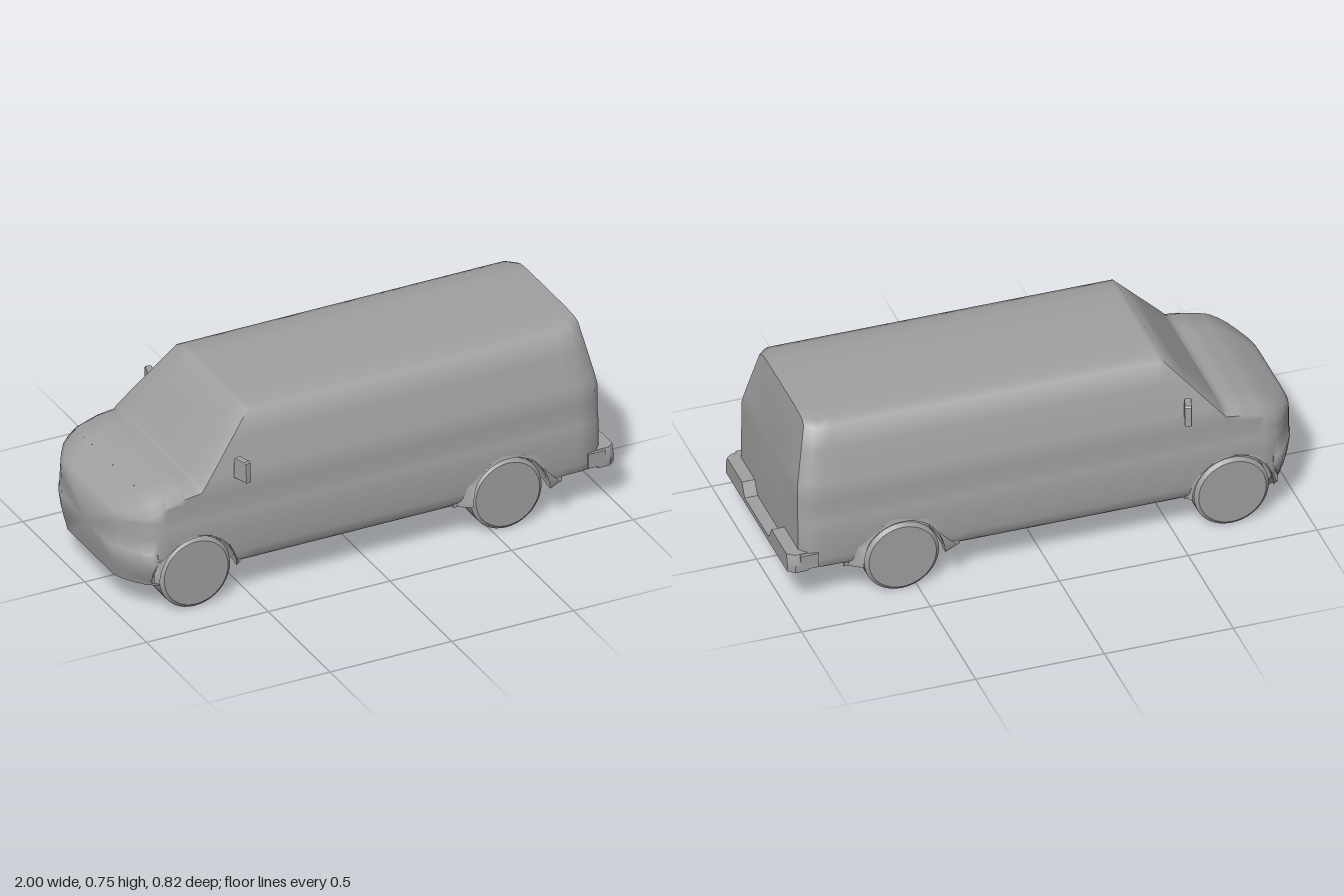
import * as THREE from 'three';
import { toCreasedNormals } from 'three/addons/utils/BufferGeometryUtils.js';

const paint = new THREE.MeshStandardMaterial({ color: 0xa0a0a0, side: THREE.DoubleSide });
const AXLES = [-0.72, 0.56], HUB_Y = 0.145, ARCH_R = 0.16;

function add(parent, name, geometry, x = 0, y = 0, z = 0) {
  const mesh = new THREE.Mesh(geometry, paint);
  mesh.name = name;
  mesh.position.set(x, y, z);
  parent.add(mesh);
  return mesh;
}

// Piecewise linear lookup in a list of [input, output] pairs
function lookup(table, v) {
  if (v <= table[0][0]) return table[0][1];
  for (let i = 1; i < table.length; i++) {
    const [a, p] = table[i - 1], [b, q] = table[i];
    if (v <= b) return p + (q - p) * (v - a) / (b - a);
  }
  return table[table.length - 1][1];
}

// Body outline: roof and bonnet height, plan half-width, side section, tail slope
const TOP = [[-1, 0.39], [-0.985, 0.402], [-0.95, 0.422], [-0.9, 0.45], [-0.85, 0.472], [-0.77, 0.492],
  [-0.7, 0.497], [-0.48, 0.742], [0.9, 0.747]];
const PLAN = [[-1, 0.2], [-0.985, 0.24], [-0.96, 0.285], [-0.93, 0.328], [-0.9, 0.35], [-0.86, 0.362],
  [-0.75, 0.364], [0.86, 0.362], [0.92, 0.353], [0.95, 0.318]];
const SIDE = [[0.12, 0.335], [0.15, 0.343], [0.17, 0.356], [0.2, 0.361], [0.33, 0.362], [0.385, 0.353],
  [0.49, 0.351], [0.55, 0.334], [0.73, 0.279]];
const TAIL = [[0.5, 0], [0.745, 0.05]];
const SHOULDER = [[-1, 0.02], [-0.9, 0.035], [-0.7, 0.022], [-0.48, 0.017]];
const ROWS = [0.12, 0.15, 0.17, 0.2, 0.262, 0.268, 0.33, 0.36, 0.385, 0.44, 0.49, 0.52, 0.55, 0.64, 0.8];

function floorY(x) { return x < -0.881 ? 0.12 : x > 0.721 ? 0.165 : 0.15; }
function sillY(x) {
  let y = floorY(x);
  for (const c of AXLES) {
    const d = ARCH_R * ARCH_R - (x - c) ** 2;
    if (d > 0) y = Math.max(y, HUB_Y + Math.sqrt(d));
  }
  return y;
}

// One closed cross-section, with the wheel housing as a step in the underside
function section(x) {
  const top = lookup(TOP, x), shoulder = top - lookup(SHOULDER, x), sill = sillY(x);
  const wide = lookup(PLAN, x) / 0.362;
  const half = ROWS.map(row => {
    const y = Math.min(Math.max(row, sill), shoulder);
    const lip = x < -0.88 && y < 0.265 ? 1.015 : 1;
    return [y, lookup(SIDE, y) * wide * lip];
  });
  const edge = half[half.length - 1][1];
  const inner = Math.min(0.24, half[0][1] * 0.9);
  half.unshift([floorY(x), inner], [sill, inner]);
  half.push([top - 0.004, edge - 0.035 * wide], [top, edge * 0.6]);
  const loop = [[floorY(x), 0], ...half, [top, 0], ...half.slice().reverse().map(([y, z]) => [y, -z])];
  return loop.map(([y, z]) => {
    let px = x;
    if (x > 0.9) px -= lookup(TAIL, y);
    if (x < -0.88) px += y < 0.25 ? 0.025 * (0.25 - y) / 0.13 : y > 0.265 ? 0.004 : 0;
    return [px, y, z];
  });
}

function creased(pos, index, angle) {
  const g = new THREE.BufferGeometry();
  g.setAttribute('position', new THREE.Float32BufferAttribute(pos, 3));
  g.setIndex(index);
  return toCreasedNormals(g, angle);
}

// Shell lofted through the sections, closed by a nose panel
function shellGeometry() {
  const xs = [-1, -0.985, -0.96, -0.93, -0.9, -0.883, -0.77, -0.7, -0.48, -0.46, -0.2, 0.1, 0.3, 0.8, 0.86,
    0.92, 0.95];
  for (const c of AXLES) for (let k = 0; k <= 16; k++) xs.push(c + ARCH_R * Math.cos(k * Math.PI / 16));
  xs.sort((a, b) => a - b);
  const loops = xs.map(section), n = loops[0].length;
  const pos = loops.flat(2), index = [];
  for (let i = 0; i < xs.length - 1; i++) {
    for (let j = 0; j < n; j++) {
      const k = (j + 1) % n, a = i * n + j, b = a + n, c = (i + 1) * n + k, d = i * n + k;
      index.push(a, b, c, a, c, d);
    }
  }
  const nose = pos.length / 3;
  pos.push(-1, 0.26, 0);
  for (let j = 0; j < n; j++) index.push(nose, j, (j + 1) % n);
  return creased(pos, index, 1);
}

// Rear doors, a fan over the last section
function tailGeometry() {
  const loop = section(0.95), n = loop.length, index = [];
  for (let j = 0; j < n; j++) index.push(n, (j + 1) % n, j);
  return creased([...loop.flat(), 0.95, 0.49, 0], index, 0.5);
}

// Wheel arch lip, blended into the side and flicked outwards near the sill
function flareGeometry(outer, spread) {
  const s = new THREE.Shape();
  s.absarc(0, 0, outer, 0, Math.PI, false);
  s.absarc(0, 0, ARCH_R - 0.002, Math.PI, 0, true);
  const g = new THREE.ExtrudeGeometry(s, { depth: 0.017, bevelEnabled: false, curveSegments: 28 });
  const p = g.attributes.position;
  for (let i = 0; i < p.count; i++) {
    const x = p.getX(i), y = p.getY(i);
    const low = 1 - THREE.MathUtils.smoothstep(y, 0.02, 0.1);
    const isOuter = Math.hypot(x, y) > ARCH_R + 0.005;
    if (isOuter) p.setX(i, x * (1 + 10 * spread * low));
    if (p.getZ(i) > 0.01) p.setZ(i, isOuter ? lookup(SIDE, HUB_Y + y) - 0.353 : 0.016 + spread * low);
  }
  g.computeVertexNormals();
  return toCreasedNormals(g, 0.8);
}

// Plain disc wheel turned as one profile, inner face to chamfered outer face
function wheelGeometry() {
  const profile = [[0, 0.259], [0.145, 0.259], [0.145, 0.345], [0.131, 0.357], [0, 0.357]]
    .map(([r, z]) => new THREE.Vector2(r, z));
  const g = new THREE.LatheGeometry(profile, 40);
  g.rotateX(Math.PI / 2);
  return toCreasedNormals(g, 0.5);
}

// Rear bumper with a dipped step and chamfered corners
function rearBumper(parent) {
  const s = new THREE.Shape();
  const half = [[0.36, 0.165], [0.364, 0.2], [0.35, 0.237], [0.163, 0.237], [0.132, 0.186]];
  s.moveTo(-0.36, 0.165);
  half.forEach(([z, y]) => s.lineTo(z, y));
  half.slice().reverse().forEach(([z, y]) => s.lineTo(-z, y));
  const g = new THREE.ExtrudeGeometry(s, { depth: 0.075, steps: 3, bevelEnabled: false });
  g.rotateY(Math.PI / 2);
  const p = g.attributes.position;
  for (let i = 0; i < p.count; i++) {
    const z = p.getZ(i);
    if (p.getX(i) > 0.07 && Math.abs(z) > 0.3) p.setZ(i, z * 0.94);
  }
  g.computeVertexNormals();
  add(parent, 'rearBumper', toCreasedNormals(g, 0.7), 0.925, 0, 0);
  for (const side of [1, -1]) {
    add(parent, 'rearBumperEnd', new THREE.BoxGeometry(0.07, 0.06, 0.03), 0.92, 0.205, side * 0.349);
  }
}

export function createModel() {
  const van = new THREE.Group();
  van.name = 'van';
  add(van, 'bodyShell', shellGeometry());
  add(van, 'rearDoors', tailGeometry());
  rearBumper(van);

  // Wheels and arch lips; the axles sit slightly to one side
  const wheel = wheelGeometry();
  AXLES.forEach((x, i) => {
    const flare = i ? flareGeometry(0.19, 0.018) : flareGeometry(0.178, 0.002);
    for (const turn of [0, Math.PI]) {
      const corner = new THREE.Group();
      corner.name = i ? 'rearWheelCorner' : 'frontWheelCorner';
      corner.position.set(x, HUB_Y, 0);
      corner.rotation.y = turn;
      add(corner, 'wheel', wheel, 0, 0, turn ? 0.006 : -0.006);
      add(corner, 'archLip', flare, 0, 0, 0.35);
      van.add(corner);
    }
  });

  // Door mirrors on short arms
  const face = new THREE.Shape();
  face.moveTo(-0.032, -0.042);
  face.lineTo(0.036, -0.042);
  face.lineTo(0.031, 0.036);
  face.lineTo(0.024, 0.042);
  face.lineTo(-0.026, 0.042);
  face.lineTo(-0.032, 0.034);
  const shell = new THREE.ExtrudeGeometry(face,
    { depth: 0.018, bevelSize: 0.003, bevelThickness: 0.004, bevelSegments: 2, bevelOffset: -0.003 });
  shell.translate(0, 0, -0.009);
  for (const s of [1, -1]) {
    const mirror = new THREE.Group();
    mirror.name = s > 0 ? 'leftMirror' : 'rightMirror';
    mirror.position.set(-0.543, 0.548, s * 0.375);
    // The shell's own +x points outwards, swept slightly back
    mirror.rotation.y = s * (0.3 - Math.PI / 2);
    add(mirror, 'mirrorShell', shell);
    add(mirror, 'mirrorArm', new THREE.BoxGeometry(0.05, 0.02, 0.012), -0.04, -0.025, 0);
    van.add(mirror);
  }
  return van;
}
